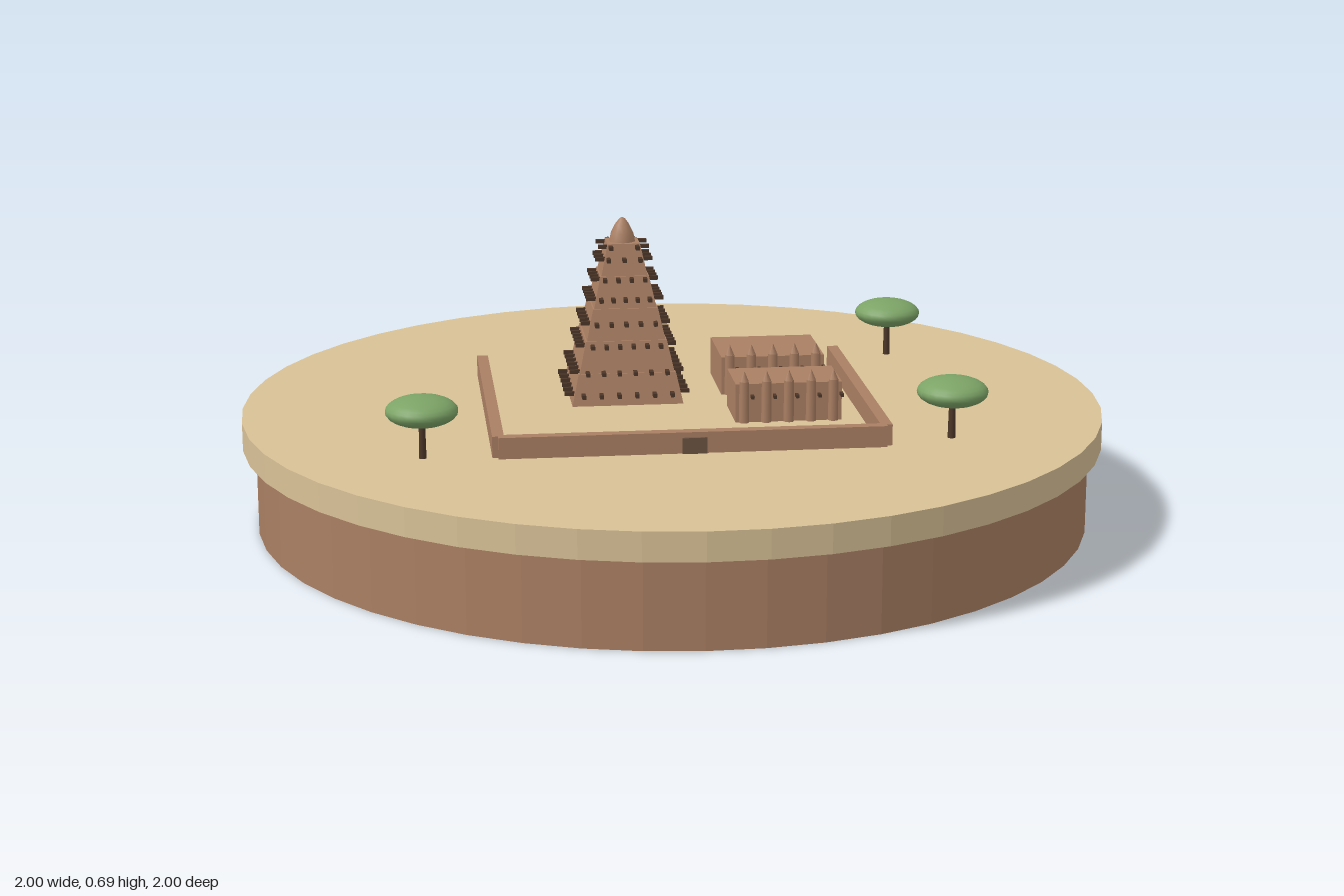
import * as THREE from 'three';

const sand = new THREE.MeshStandardMaterial({ color: 0xd8c196 });
sand.name = 'sand';
const mudBrick = new THREE.MeshStandardMaterial({ color: 0xaa7f63 });
mudBrick.name = 'mudBrick';
const timber = new THREE.MeshStandardMaterial({ color: 0x4c3628 });
timber.name = 'timber';
const door = new THREE.MeshStandardMaterial({ color: 0x6b5342 });
door.name = 'doorWood';
const foliage = new THREE.MeshStandardMaterial({ color: 0x7ca366 });
foliage.name = 'foliage';

const GROUND = 0.265;

// Faceted copy of a geometry
function flat(geometry) {
  const g = geometry.toNonIndexed();
  g.computeVertexNormals();
  return g;
}

function add(parent, name, geometry, material, x = 0, y = 0, z = 0) {
  const mesh = new THREE.Mesh(geometry, material);
  mesh.name = name;
  mesh.position.set(x, y, z);
  parent.add(mesh);
  return mesh;
}

// Box standing on the ground
function block(parent, name, w, h, d, x, z, material = mudBrick) {
  return add(parent, name, new THREE.BoxGeometry(w, h, d), material, x, GROUND + h / 2, z);
}

// Square tapered block, given by half widths
function taper(top, bottom, h) {
  const g = new THREE.CylinderGeometry(top * Math.SQRT2, bottom * Math.SQRT2, h, 4);
  return flat(g.rotateY(Math.PI / 4));
}

function makeTower() {
  const tower = new THREE.Group();
  tower.name = 'tower';
  const top = 0.63, tiers = 5;
  const halfAt = (y) => 0.13 - (0.095 * (y - GROUND)) / (top - GROUND);

  // Tapered tiers with small ledges
  const h = (top - GROUND) / tiers;
  for (let i = 0; i < tiers; i++) {
    const y = GROUND + i * h;
    add(tower, 'towerTier', taper(halfAt(y + h) + 0.003, halfAt(y), h), mudBrick, 0, y + h / 2, 0);
  }

  // Bullet-shaped finial
  const profile = [[0.031, 0], [0.027, 0.02], [0.017, 0.04], [0.007, 0.053], [0, 0.057]]
    .map(([x, y]) => new THREE.Vector2(x, y));
  add(tower, 'towerFinial', new THREE.LatheGeometry(profile, 10), mudBrick, 0, top, 0);

  // Rows of projecting beams on all four faces
  const rows = [[0.29, 6], [0.34, 6], [0.4, 6], [0.45, 5], [0.505, 5], [0.55, 4], [0.595, 3], [0.623, 2]];
  for (let side = 0; side < 4; side++) {
    const face = new THREE.Group();
    face.name = 'towerBeams';
    face.rotation.y = (side * Math.PI) / 2;
    for (const [y, count] of rows) {
      const half = halfAt(y), span = half * 0.84;
      for (let i = 0; i < count; i++) {
        const x = -span + (2 * span * i) / (count - 1);
        add(face, 'beam', new THREE.BoxGeometry(0.009, 0.009, 0.045), timber, x, y, half + 0.0005);
      }
    }
    tower.add(face);
  }
  return tower;
}

function makeHall(width, depth) {
  const hall = new THREE.Group();
  hall.name = 'hall';
  const h = 0.09, front = depth / 2;
  block(hall, 'hallBody', width, h, depth, 0, 0);
  // Front buttresses with pointed caps and beams
  for (let i = 0; i < 5; i++) {
    const x = (i - 2) * width * 0.21;
    add(hall, 'buttress', new THREE.CylinderGeometry(0.011, 0.012, h + 0.006, 8), mudBrick, x, GROUND + h / 2 + 0.003, front);
    add(hall, 'buttressCap', new THREE.ConeGeometry(0.011, 0.026, 8), mudBrick, x, GROUND + h + 0.018, front);
    add(hall, 'hallBeam', new THREE.BoxGeometry(0.007, 0.007, 0.04), timber, x + 0.018, GROUND + 0.062, front);
  }
  return hall;
}

function makeTree(x, z) {
  const tree = new THREE.Group();
  tree.name = 'tree';
  add(tree, 'trunk', new THREE.CylinderGeometry(0.007, 0.009, 0.1, 8), timber, 0, GROUND + 0.05, 0);
  const crown = new THREE.SphereGeometry(0.08, 24, 14).scale(1, 0.42, 1);
  crown.computeVertexNormals();
  add(tree, 'crown', crown, foliage, 0, 0.372, 0);
  tree.position.set(x, 0, z);
  return tree;
}

export function createModel() {
  const model = new THREE.Group();
  model.name = 'desertCompound';

  // Round plinth with a wider sandy slab
  add(model, 'plinth', flat(new THREE.CylinderGeometry(0.97, 0.97, 0.2, 48)), mudBrick, 0, 0.1, 0);
  add(model, 'sandSlab', flat(new THREE.CylinderGeometry(1, 1, 0.065, 48)), sand, 0, 0.2325, 0);

  // Turned compound
  const compound = new THREE.Group();
  compound.name = 'compound';
  compound.rotation.y = -0.35;
  model.add(compound);

  // Walls on three sides, with a gate
  block(compound, 'frontWall', 0.86, 0.048, 0.026, 0, 0.43);
  for (const s of [-1, 1]) block(compound, 'sideWall', 0.026, 0.048, 0.72, s * 0.43, 0.07);
  block(compound, 'gate', 0.055, 0.036, 0.008, 0, 0.444, door);

  const tower = makeTower();
  tower.position.set(-0.106, 0, -0.1);
  const backHall = makeHall(0.245, 0.2);
  backHall.position.set(0.245, 0, -0.142);
  const frontHall = makeHall(0.245, 0.145);
  frontHall.position.set(0.245, 0, 0.134);
  compound.add(tower, backHall, frontHall);

  for (const [x, z] of [[-0.7, 0.185], [0.68, -0.16], [0.42, 0.56]]) model.add(makeTree(x, z));
  return model;
}
